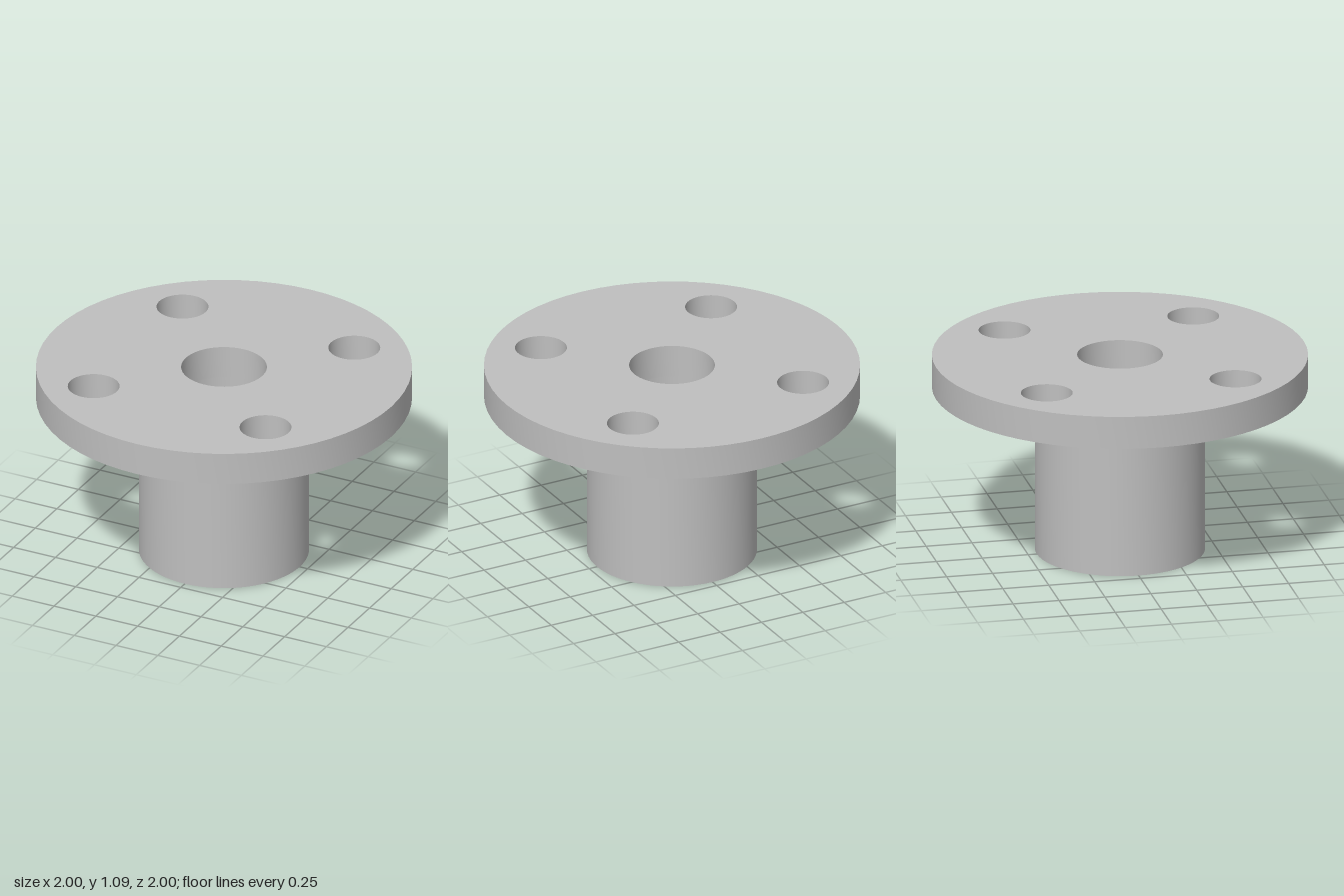
import * as THREE from 'three';
import { toCreasedNormals } from 'three/addons/utils/BufferGeometryUtils.js';

const FLANGE_RADIUS = 1, FLANGE_BOTTOM = 0.91, FLANGE_TOP = 1.09;
const HUB_RADIUS = 0.453, BORE_RADIUS = 0.228;
const BOLT_RADIUS = 0.138, BOLT_OFFSET = 0.514;
const SEGMENTS = 64;

function circle(PathType, x, y, radius) {
  return new PathType().absarc(x, y, radius, 0, Math.PI * 2, false);
}

export function createModel() {
  const model = new THREE.Group();
  model.name = 'flangedBushing';
  const steel = new THREE.MeshStandardMaterial({ color: 0xbfbfbf });
  steel.name = 'grey steel';

  const addPart = (name, geometry) => {
    const mesh = new THREE.Mesh(toCreasedNormals(geometry, Math.PI / 6), steel);
    mesh.name = name;
    model.add(mesh);
  };

  // Flange disc with the central bore and four bolt holes
  const disc = circle(THREE.Shape, 0, 0, FLANGE_RADIUS);
  disc.holes.push(circle(THREE.Path, 0, 0, BORE_RADIUS));
  for (const sx of [-1, 1]) {
    for (const sy of [-1, 1]) {
      disc.holes.push(circle(THREE.Path, sx * BOLT_OFFSET, sy * BOLT_OFFSET, BOLT_RADIUS));
    }
  }
  const flange = new THREE.ExtrudeGeometry(disc, {
    depth: FLANGE_TOP - FLANGE_BOTTOM,
    bevelEnabled: false,
    curveSegments: SEGMENTS / 2, // a full arc gets twice this many sides
  });
  flange.rotateX(-Math.PI / 2).translate(0, FLANGE_BOTTOM, 0);
  addPart('flange', flange);

  // Hollow hub: bore wall, bottom ring and outer wall, open where it meets the flange
  const profile = [
    [BORE_RADIUS, FLANGE_BOTTOM],
    [BORE_RADIUS, 0],
    [HUB_RADIUS, 0],
    [HUB_RADIUS, FLANGE_BOTTOM],
  ].map(([r, y]) => new THREE.Vector2(r, y));
  addPart('hub', new THREE.LatheGeometry(profile, SEGMENTS));

  return model;
}
